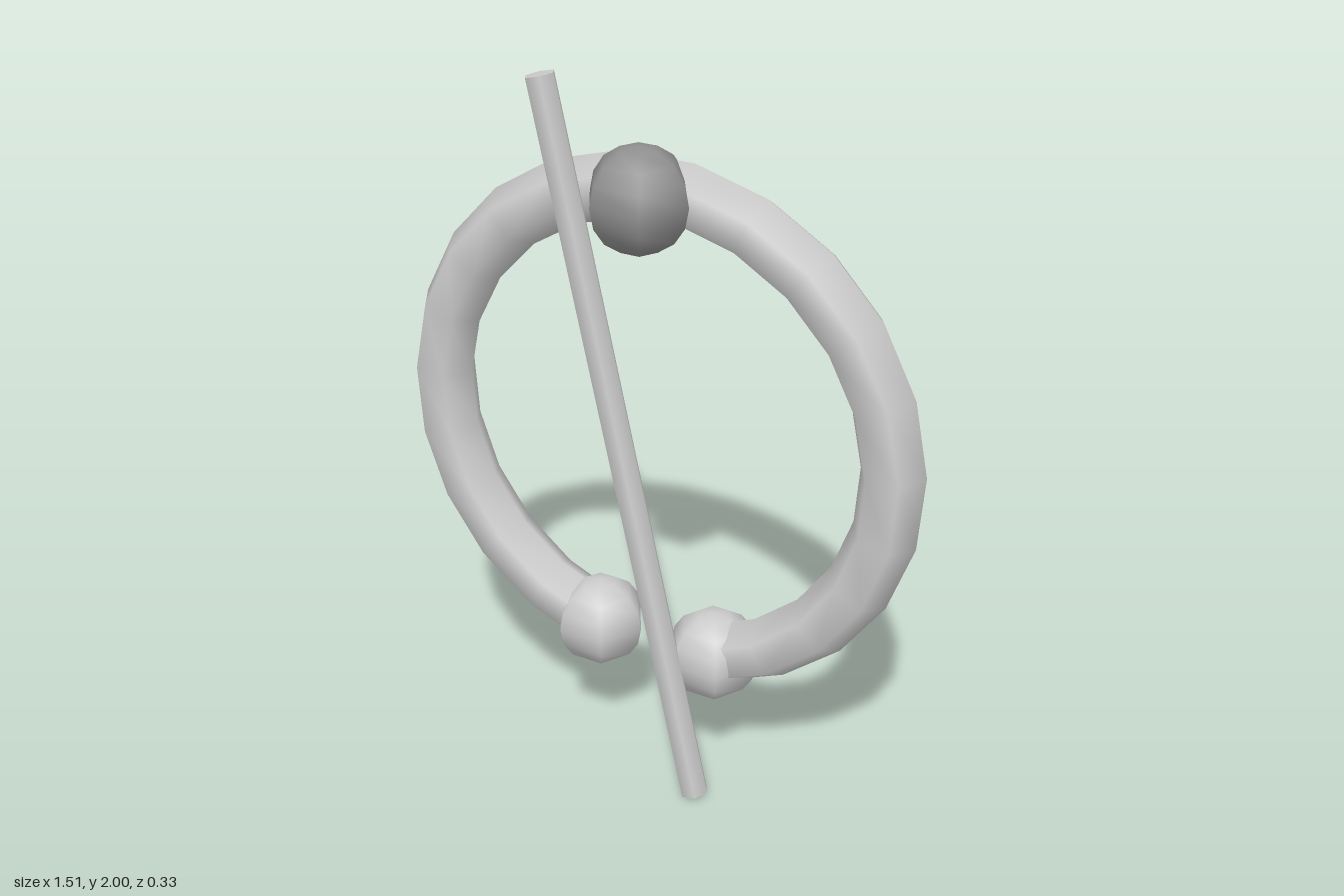
import * as THREE from 'three';

const metal = new THREE.MeshStandardMaterial({ color: 0xcccccc });
const darkStone = new THREE.MeshStandardMaterial({ color: 0x909090 });

const RING_RADIUS = 0.668;
const RING_Y = 1.04;
const RING_Z = -0.05;
const HALF_ARC = THREE.MathUtils.degToRad(164.5); // open at the bottom

export function createModel() {
  const group = new THREE.Group();

  function add(name, geometry, x, y, z, material = metal) {
    const mesh = new THREE.Mesh(geometry, material);
    mesh.name = name;
    mesh.position.set(x, y, z);
    group.add(mesh);
    return mesh;
  }

  // Open ring with a six-sided section, its gap centred at the bottom
  const ring = new THREE.TorusGeometry(RING_RADIUS, 0.0875, 6, 21, HALF_ARC * 2);
  ring.rotateZ(Math.PI / 2 - HALF_ARC);
  add('ring', ring, 0, RING_Y, RING_Z);

  // Ball terminals covering the two ring ends
  for (const side of [-1, 1]) {
    add(side > 0 ? 'leftTerminal' : 'rightTerminal', new THREE.SphereGeometry(0.13, 6, 8),
      side * RING_RADIUS * Math.sin(HALF_ARC),
      RING_Y + RING_RADIUS * Math.cos(HALF_ARC), RING_Z);
  }

  // Dark bead at the top of the ring
  add('topBead', new THREE.SphereGeometry(0.138, 6, 8), 0, 1.707, 0.043, darkStone);

  // Straight pin leaning across the front
  const pin = new THREE.CylinderGeometry(0.04, 0.04, 2.03, 6);
  pin.rotateY(Math.PI / 6);
  add('pin', pin, -0.033, 1, 0.073).rotation.z = THREE.MathUtils.degToRad(12.7);

  return group;
}
